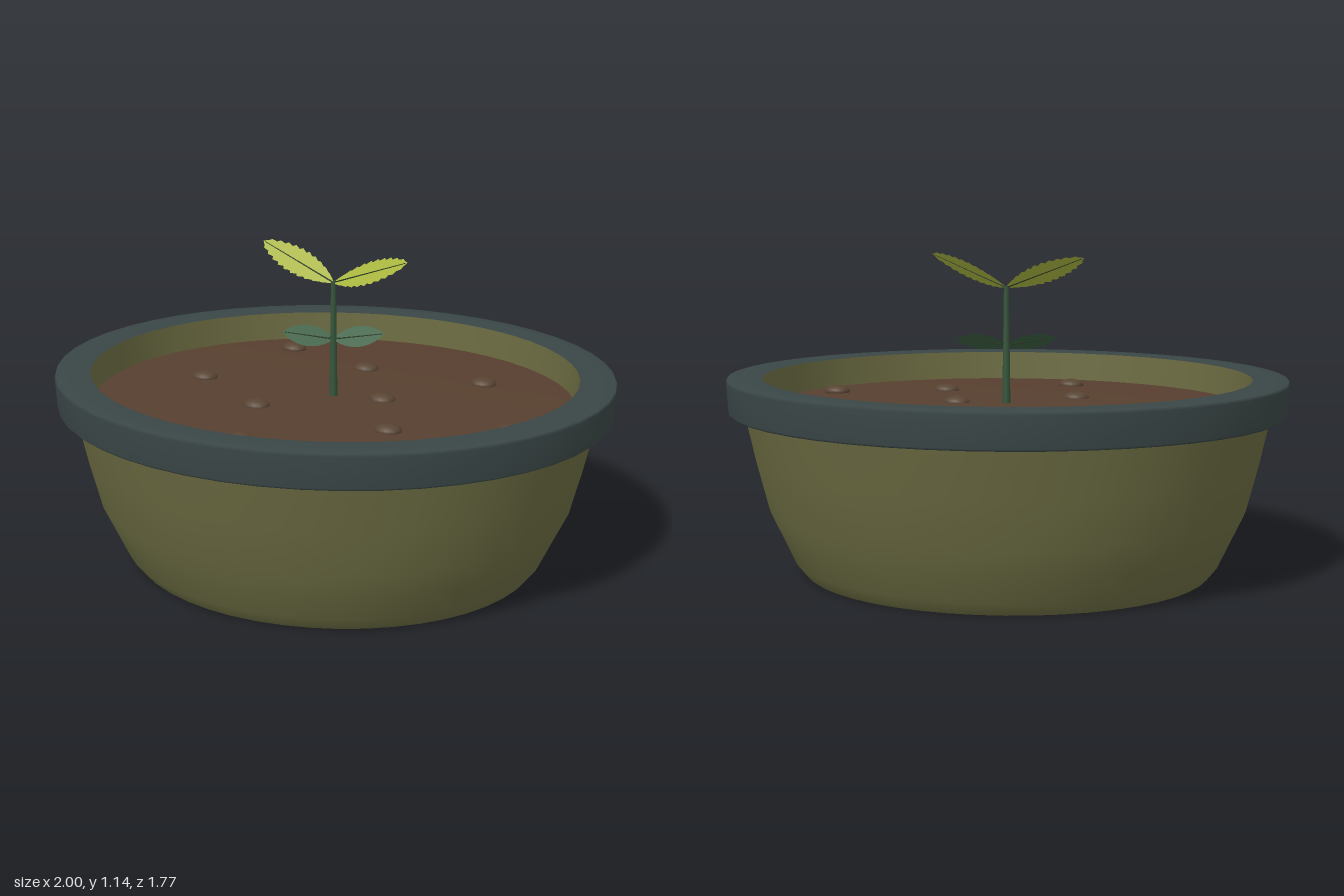
import * as THREE from 'three';

const DEPTH = 0.885; // the pot is oval: narrower in z than in x

function mat(name, color, open = true) {
  const m = new THREE.MeshStandardMaterial({ color });
  m.name = name;
  if (open) m.side = THREE.DoubleSide;
  return m;
}

function add(parent, name, geometry, material) {
  const mesh = new THREE.Mesh(geometry, material);
  mesh.name = name;
  parent.add(mesh);
  return mesh;
}

// Oval surface of revolution from [radius, height] pairs
function ovalLathe(points) {
  const g = new THREE.LatheGeometry(points.map(([r, y]) => new THREE.Vector2(r, y)), 48);
  return g.scale(1, 1, DEPTH);
}

// Flat leaf along +x; teeth > 0 gives a saw-toothed edge
function leafShape(length, halfWidth, teeth) {
  const steps = teeth ? teeth * 2 : 16;
  const edge = [];
  for (let i = 1; i < steps; i++) {
    const t = i / steps;
    const notch = teeth && i % 2 ? 0.83 : 1;
    edge.push([length * (teeth && !(i % 2) ? t + 0.02 : t), halfWidth * Math.pow(Math.sin(Math.PI * t), 0.7) * notch]);
  }
  const outline = [[0, 0], ...edge, [length, 0], ...edge.slice().reverse().map(([x, y]) => [x, -y])];
  return new THREE.Shape(outline.map(([x, y]) => new THREE.Vector2(x, y)));
}

// Leaf with a midrib, running from base to tip and leaning toward the front
function addLeaf(parent, name, base, tip, halfWidth, teeth, material, veinMaterial) {
  const axis = tip.clone().sub(base);
  const length = axis.length();
  axis.normalize();
  const lean = new THREE.Vector3(0, -0.62, 0.78);
  lean.x = -(lean.y * axis.y + lean.z * axis.z) / axis.x;
  lean.normalize().multiplyScalar(axis.x > 0 ? -1 : 1);
  const normal = axis.clone().cross(lean);

  const leaf = new THREE.Group();
  leaf.name = name;
  leaf.quaternion.setFromRotationMatrix(new THREE.Matrix4().makeBasis(axis, lean, normal));
  leaf.position.copy(base);
  add(leaf, 'leafBlade', new THREE.ShapeGeometry(leafShape(length, halfWidth, teeth)), material);
  const rib = new THREE.CylinderGeometry(0.0015, 0.003, length * 0.97, 6);
  rib.rotateZ(-Math.PI / 2).translate(length * 0.485, 0, 0);
  add(leaf, 'leafVein', rib, veinMaterial);
  parent.add(leaf);
}

export function createModel() {
  const model = new THREE.Group();
  model.name = 'pottedSeedling';

  const olive = mat('olive pot', 0x6b6b42);
  const slate = mat('slate rim', 0x3a4646);
  const soilMat = mat('brown soil', 0x573f2f);
  const pebbleMat = mat('brown pebble', 0x584433, false);
  const stemMat = mat('stem green', 0x35553a, false);
  const darkLeaf = mat('dark leaf green', 0x3a5f42);
  const limeLeaf = mat('lime leaf green', 0xa9b53f);
  const veinMat = mat('vein green', 0x22331f, false);

  // Pot: flared wall open at the bottom, heavy rim and inner lining
  add(model, 'potWall', ovalLathe([
    [0.725, 0], [0.733, 0.006], [0.768, 0.05], [0.812, 0.145], [0.857, 0.24], [0.9, 0.41], [0.938, 0.585],
  ]), olive);
  add(model, 'potRim', ovalLathe([
    [0.872, 0.582], [0.985, 0.58], [0.994, 0.588], [1, 0.694], [0.996, 0.705], [0.935, 0.707], [0.872, 0.704],
  ]), slate);
  add(model, 'potLining', ovalLathe([[0.864, 0.582], [0.872, 0.704]]), olive);

  // Soil with scattered pebbles
  add(model, 'soil', ovalLathe([[0.866, 0.598], [0.6, 0.603], [0.3, 0.606], [0, 0.607]]), soilMat);
  const pebbles = [
    [-0.31, -0.54], [0.03, -0.35], [0.49, -0.28], [-0.52, -0.09], [0.18, 0],
    [-0.23, 0.18], [0.28, 0.32], [0.68, 0.22], [-0.17, 0.54],
  ];
  for (const [x, z] of pebbles) {
    const pebble = add(model, 'pebble', new THREE.SphereGeometry(1, 16, 10), pebbleMat);
    pebble.scale.set(0.048, 0.023, 0.038);
    pebble.position.set(x, 0.606, z);
  }

  // Seedling: stem, a round lower pair and a toothed upper pair of leaves
  const stem = add(model, 'stem', new THREE.CylinderGeometry(0.009, 0.015, 0.43, 12), stemMat);
  stem.position.y = 0.81;
  for (const side of [1, -1]) {
    const label = side > 0 ? 'left' : 'right';
    addLeaf(model, label + 'LowerLeaf', new THREE.Vector3(0, 0.815, 0),
      new THREE.Vector3(side * 0.175, 0.838, side * -0.035), 0.046, 0, darkLeaf, veinMat);
    addLeaf(model, label + 'UpperLeaf', new THREE.Vector3(0, 1.02, 0),
      new THREE.Vector3(side * 0.288, 1.132, side * 0.1), 0.056, 11, limeLeaf, veinMat);
  }
  return model;
}
